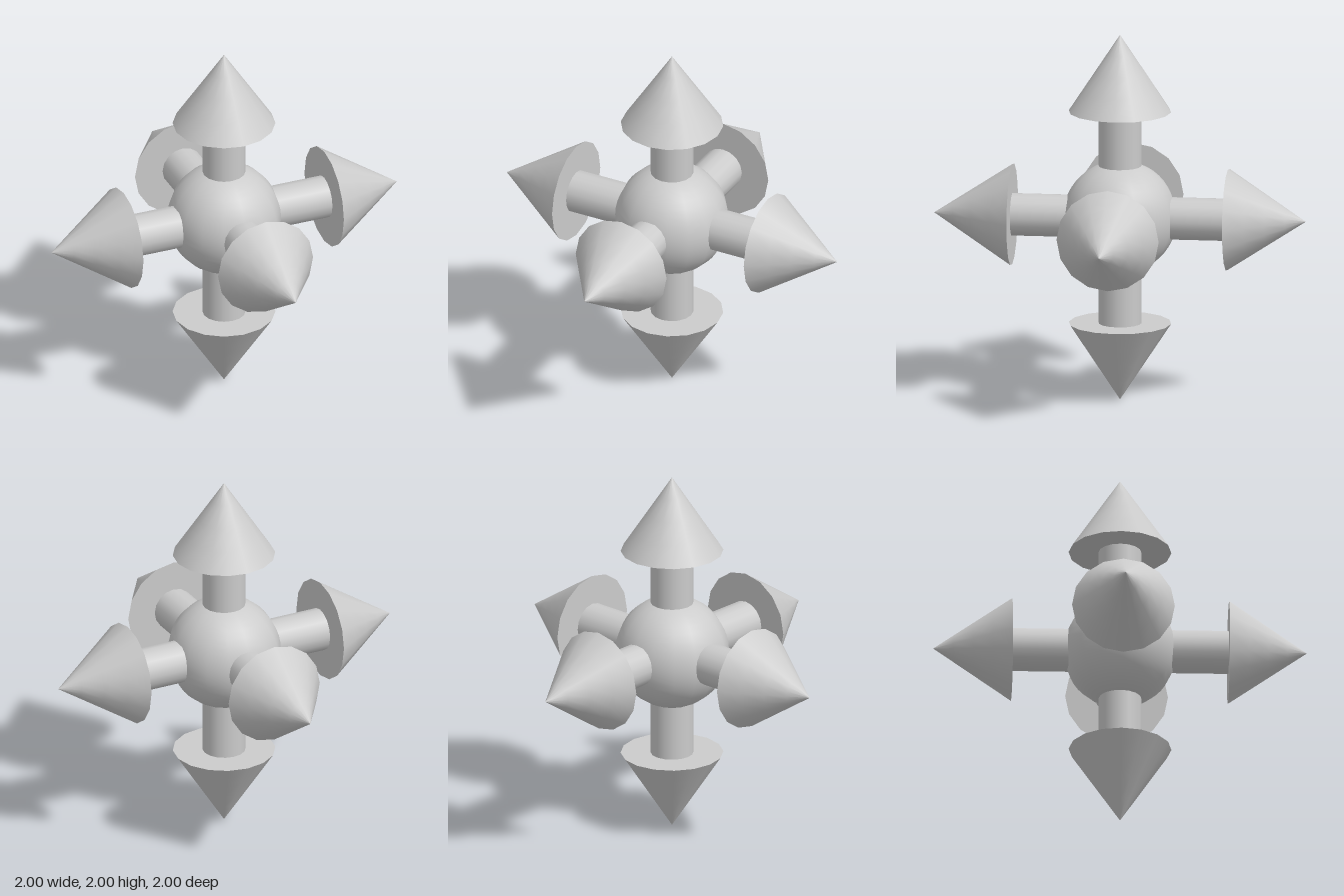
import * as THREE from 'three';

const SIDES = 16;

export function createModel() {
  const model = new THREE.Group();
  const material = new THREE.MeshStandardMaterial({ color: 0xcccccc });

  // Central ball
  const ball = new THREE.Mesh(new THREE.SphereGeometry(0.305, SIDES, 24), material);
  ball.name = 'centreBall';
  ball.position.y = 1;
  model.add(ball);

  // Shared arrow parts, pointing along +y from the ball's centre
  const shaftGeometry = new THREE.CylinderGeometry(0.115, 0.115, 0.4, SIDES).translate(0, 0.4, 0);
  const headGeometry = new THREE.ConeGeometry(0.275, 0.42, SIDES, 4).translate(0, 0.79, 0);

  // Six arrows, one along each axis direction; rotations are [x, z]
  const arrows = {
    upArrow: [0, 0],
    downArrow: [Math.PI, 0],
    leftArrow: [0, -Math.PI / 2],
    rightArrow: [0, Math.PI / 2],
    frontArrow: [Math.PI / 2, 0],
    backArrow: [-Math.PI / 2, 0],
  };
  for (const [name, [rx, rz]] of Object.entries(arrows)) {
    const arrow = new THREE.Group();
    arrow.name = name;
    const shaft = new THREE.Mesh(shaftGeometry, material);
    shaft.name = 'shaft';
    const head = new THREE.Mesh(headGeometry, material);
    head.name = 'arrowHead';
    arrow.add(shaft, head);
    arrow.position.y = 1;
    arrow.rotation.set(rx, 0, rz);
    model.add(arrow);
  }
  return model;
}
